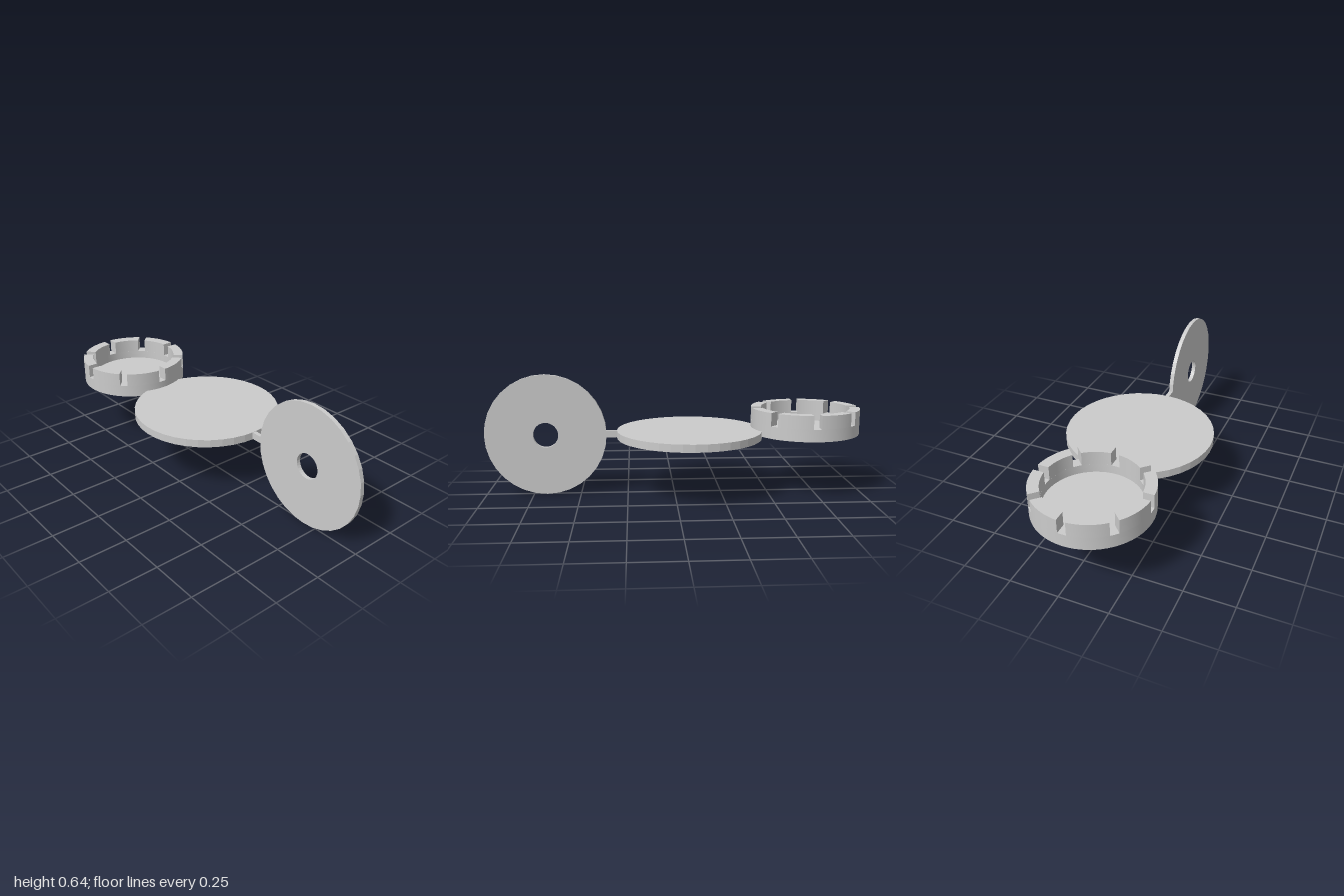
import * as THREE from 'three';
import { toCreasedNormals } from 'three/addons/utils/BufferGeometryUtils.js';

const grey = new THREE.MeshStandardMaterial({ color: 0xcccccc });
const flatGrey = new THREE.MeshStandardMaterial({ color: 0xcccccc, flatShading: true });

function part(name, geometry, material, x, y, z) {
  const mesh = new THREE.Mesh(geometry, material);
  mesh.name = name;
  mesh.position.set(x, y, z);
  return mesh;
}

// Slotted cup: a closed base with a ring of wall blocks between parallel-sided slots
function createCup() {
  const cup = new THREE.Group();
  cup.name = 'slottedCup';
  const R = 0.29, r = 0.235, floor = 0.02, slotBase = 0.065, height = 0.135;
  const slots = 8, halfSlot = 0.021;

  const profile = [[0, 0], [R, 0], [R, slotBase], [r, slotBase], [r, floor], [0, floor]]
    .map(([x, y]) => new THREE.Vector2(x, y));
  cup.add(part('cupBase', toCreasedNormals(new THREE.LatheGeometry(profile, 64), 0.6), grey, 0, 0, 0));

  const step = (Math.PI * 2) / slots;
  const outer = Math.asin(halfSlot / R), inner = Math.asin(halfSlot / r);
  const shape = new THREE.Shape();
  shape.absarc(0, 0, R, outer, step - outer, false);
  shape.absarc(0, 0, r, step - inner, inner, true);
  const block = toCreasedNormals(new THREE.ExtrudeGeometry(shape, {
    depth: height - slotBase, bevelEnabled: false, curveSegments: 8,
  }).rotateX(-Math.PI / 2), 0.6);
  for (let i = 0; i < slots; i++) {
    const mesh = part('cupWallBlock', block, grey, 0, slotBase, 0);
    mesh.rotation.y = i * step;
    cup.add(mesh);
  }
  return cup;
}

// Upright disc with a central hole
function createUprightDisc() {
  const shape = new THREE.Shape();
  const n = 32, R = 0.32;
  for (let i = 0; i < n; i++) {
    const a = (i / n) * Math.PI * 2;
    shape[i ? 'lineTo' : 'moveTo'](R * Math.cos(a), R * Math.sin(a));
  }
  shape.holes.push(new THREE.Path().absarc(0, 0, 0.066, 0, Math.PI * 2, true));
  return new THREE.ExtrudeGeometry(shape, { depth: 0.022, bevelEnabled: false, curveSegments: 16 })
    .translate(0, 0, -0.011);
}

export function createModel() {
  const model = new THREE.Group();
  model.name = 'discsAndCup';

  const cup = createCup();
  cup.position.set(-0.71, 0.315, 0.045);
  model.add(cup);

  // Flat disc, connecting tab and upright disc
  model.add(part('flatDisc', new THREE.CylinderGeometry(0.385, 0.385, 0.04, 40), flatGrey, -0.08, 0.322, 0));
  model.add(part('connectingTab', new THREE.BoxGeometry(0.1, 0.036, 0.022), flatGrey, 0.33, 0.323, 0));
  model.add(part('uprightDisc', createUprightDisc(), flatGrey, 0.68, 0.32, 0));
  return model;
}
